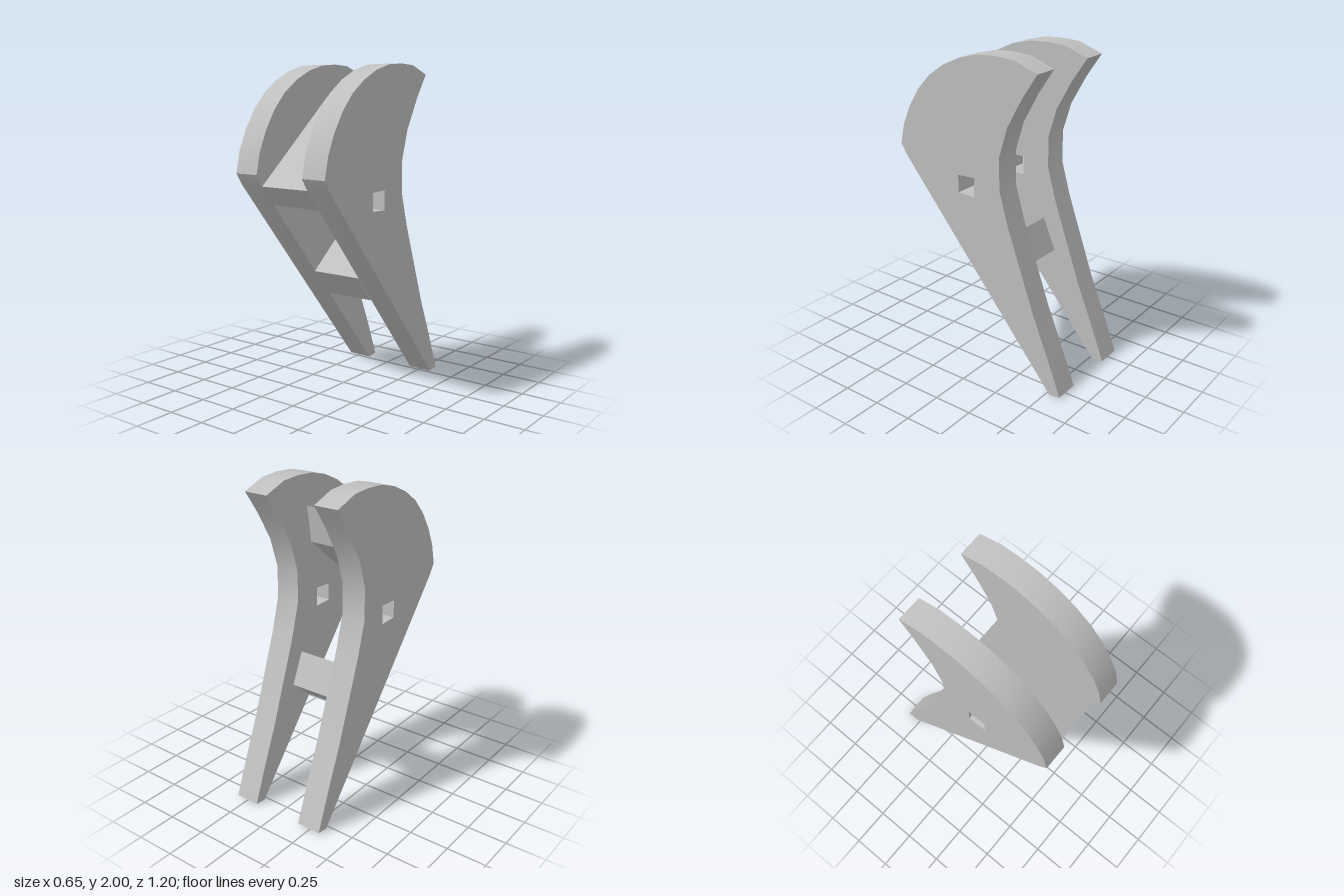
import * as THREE from 'three';
import { toCreasedNormals } from 'three/addons/utils/BufferGeometryUtils.js';

const toPoints = (list) => list.map(([z, y]) => new THREE.Vector2(z, y));

// Extrudes a side profile of [z, y] points between two x positions
function extrudeProfile(outline, xMin, xMax, holes = []) {
  const shape = new THREE.Shape(toPoints(outline));
  for (const hole of holes) shape.holes.push(new THREE.Path(toPoints(hole)));
  const geometry = new THREE.ExtrudeGeometry(shape, { depth: xMax - xMin, bevelEnabled: false });
  geometry.rotateY(-Math.PI / 2);
  geometry.translate(xMax, 0, 0);
  return toCreasedNormals(geometry, 0.5);
}

export function createModel() {
  const group = new THREE.Group();
  const grey = new THREE.MeshStandardMaterial({ color: 0xc0c0c0 });
  grey.name = 'light grey';

  const add = (name, geometry) => {
    const mesh = new THREE.Mesh(geometry, grey);
    mesh.name = name;
    group.add(mesh);
  };

  // Curved side plates, each with a square hole
  const plate = [
    [0.6, 1.37], [0.57, 1.5], [0.515, 1.62], [0.44, 1.735], [0.35, 1.83], [0.24, 1.905],
    [0.12, 1.96], [-0.01, 1.993], [-0.14, 2], [-0.26, 1.992], [-0.41, 1.938],
    [-0.31, 1.79], [-0.21, 1.61], [-0.155, 1.43], [-0.155, 1.23], [-0.215, 1.02],
    [-0.3, 0.78], [-0.4, 0.5], [-0.5, 0.26], [-0.597, 0.01], [-0.525, 0], [0.555, 1.3],
  ];
  const hole = [[0.15, 1.26], [0.15, 1.15], [0.03, 1.145], [0.03, 1.265]];
  const inner = 0.167, outer = 0.325;
  add('leftPlate', extrudeProfile(plate, inner, outer, [hole]));
  add('rightPlate', extrudeProfile(plate, -outer, -inner, [hole]));

  // Sloping crossbars that join the plates
  const upperBar = [[0.555, 1.3], [-0.055, 1.805], [-0.02, 1.575], [0.455, 1.18]];
  const lowerBar = [[0.08, 0.72], [-0.13, 0.89], [-0.215, 0.69], [-0.055, 0.555]];
  add('upperCrossbar', extrudeProfile(upperBar, -inner, inner));
  add('lowerCrossbar', extrudeProfile(lowerBar, -inner, inner));

  return group;
}
